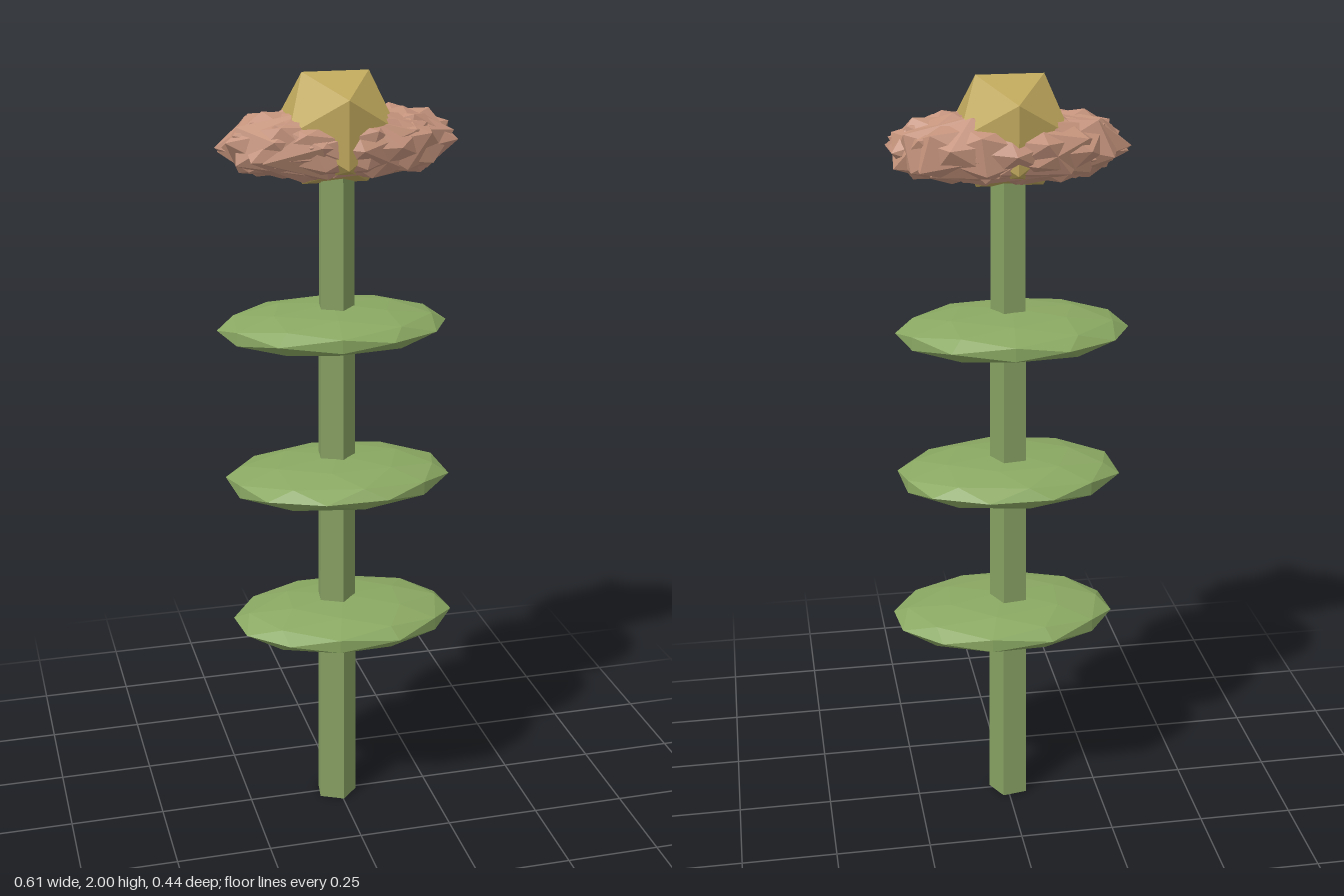
import * as THREE from 'three';

const mat = (color) => {
  const m = new THREE.MeshStandardMaterial({ color });
  m.flatShading = true;
  return m;
};

export function createModel() {
  const flower = new THREE.Group();
  flower.name = 'flower';
  const stemMat = mat(0x86a062), leafMat = mat(0x8aa862);
  const petalMat = mat(0xc4937c), coreMat = mat(0xbfa75c);
  const cx = -0.008, cz = 0.003; // stem axis

  const add = (name, geometry, material, x, y, z, parent = flower) => {
    const mesh = new THREE.Mesh(geometry, material);
    mesh.name = name;
    mesh.position.set(x, y, z);
    parent.add(mesh);
    return mesh;
  };

  // Five-sided tapering stem
  const stem = new THREE.CylinderGeometry(0.047, 0.057, 1.8, 5);
  stem.rotateY(0.17);
  add('stem', stem, stemMat, cx, 0.9, cz);

  // Three flat faceted leaf discs: x, y, z, turn of the facets
  const leaves = [
    [0.01, 0.553, 0.013, 0.35],
    [-0.007, 0.958, 0.02, 1.3],
    [-0.013, 1.36, -0.008, 2.5],
  ];
  for (const [x, y, z, turn] of leaves) {
    const leaf = new THREE.IcosahedronGeometry(1, 1);
    leaf.rotateY(turn);
    leaf.scale(0.298, 0.056, 0.213);
    add('leaf', leaf, leafMat, x, y, z);
  }

  // Oval ring of overlapping angular petals, each with its facets turned further
  const petals = new THREE.Group();
  petals.name = 'petals';
  petals.position.set(0, 1.828, 0);
  flower.add(petals);
  const count = 24;
  for (let i = 0; i < count; i++) {
    const a = (i / count) * Math.PI * 2;
    const petal = new THREE.IcosahedronGeometry(1, 0);
    petal.rotateX(i * 0.73);
    petal.rotateZ(i * 0.41);
    petal.scale(0.172, 0.088, 0.085);
    add('petal', petal, petalMat, 0.14 * Math.cos(a), 0, 0.062 * Math.sin(a), petals);
  }

  // Faceted flower centre
  add('flowerCentre', new THREE.IcosahedronGeometry(0.16, 0), coreMat, cx, 1.864, cz);

  return flower;
}
